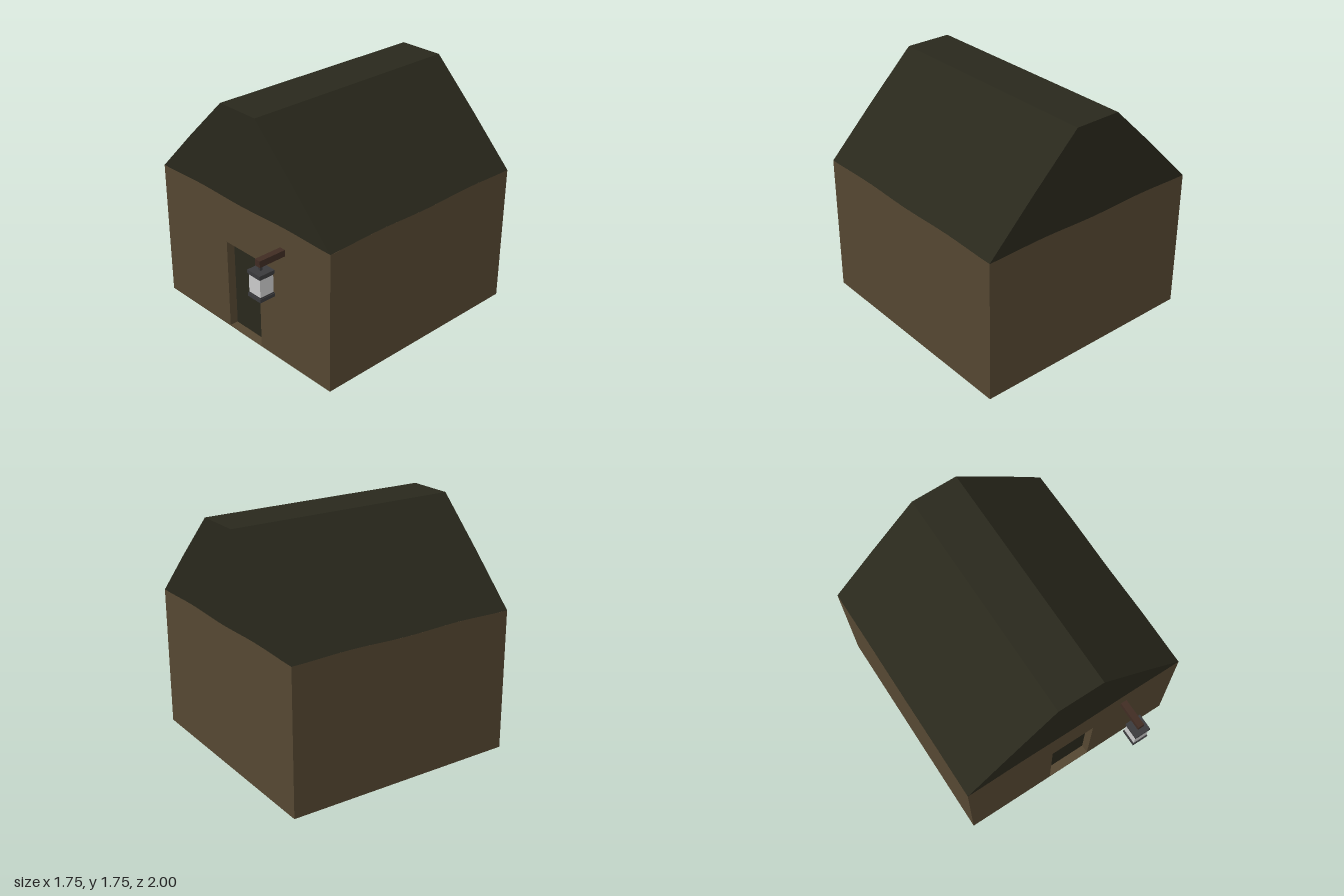
import * as THREE from 'three';

const HALF = 0.875, BACK = -1, FRONT = 0.75, RECESS = 0.07;
const CENTRE_Z = (FRONT + BACK) / 2;

const mat = (color) => new THREE.MeshStandardMaterial({ color, flatShading: true });

// gently waving line where walls meet the roof
const ripple = (t) => 0.01 * Math.sin((Math.PI * t) / HALF) ** 2;
const eave = (x, z) => 1.053 + ripple(x) + ripple(z - CENTRE_Z);

function add(parent, name, geometry, material, x = 0, y = 0, z = 0) {
  const mesh = new THREE.Mesh(geometry, material);
  mesh.name = name;
  mesh.position.set(x, y, z);
  parent.add(mesh);
  return mesh;
}

// move every vertex of a geometry by a rule
function reshape(geometry, rule) {
  const p = geometry.attributes.position;
  const v = new THREE.Vector3();
  for (let i = 0; i < p.count; i++) {
    rule(v.fromBufferAttribute(p, i));
    p.setXYZ(i, v.x, v.y, v.z);
  }
  geometry.computeVertexNormals();
  return geometry;
}

export function createModel() {
  const group = new THREE.Group();
  const wall = mat(0x554732), thatch = mat(0x29281c);
  const wood = mat(0x402c23), iron = mat(0x3a3a3c), glass = mat(0xcccccc);

  // main walls, behind the front wall
  const depth = FRONT - RECESS - BACK;
  const body = new THREE.BoxGeometry(2 * HALF, 1, depth, 16, 1, 16);
  body.translate(0, 0.5, BACK + depth / 2);
  reshape(body, (v) => { if (v.y > 0.5) v.y = eave(v.x, v.z); });
  add(group, 'walls', body, wall);

  // front wall with the doorway cut out
  const front = new THREE.Shape();
  front.moveTo(-HALF, 0);
  front.lineTo(-0.175, 0);
  front.lineTo(-0.175, 0.705);
  front.lineTo(0.175, 0.705);
  front.lineTo(0.175, 0);
  front.lineTo(HALF, 0);
  for (let i = 16; i >= 0; i--) {
    const x = HALF * (i / 8 - 1);
    front.lineTo(x, eave(x, FRONT));
  }
  const frontGeo = new THREE.ExtrudeGeometry(front, { depth: RECESS, bevelEnabled: false });
  add(group, 'frontWall', frontGeo, wall, 0, 0, FRONT - RECESS);

  // door panel and threshold
  add(group, 'door', new THREE.BoxGeometry(0.35, 0.705, 0.01), thatch, 0, 0.3525, FRONT - RECESS);
  add(group, 'threshold', new THREE.BoxGeometry(0.35, 0.006, RECESS), wall, 0, 0.003, FRONT - RECESS / 2);

  // roof with a flat ridge and slightly swelling slopes
  const roof = new THREE.BoxGeometry(2 * HALF, 2, FRONT - BACK, 16, 2, 16);
  roof.translate(0, 1, CENTRE_Z);
  const scaleAt = [1, 0.608, 0.2];
  reshape(roof, (v) => {
    const row = Math.round(v.y);
    const base = row === 0 ? eave(v.x, v.z) : 1.053;
    v.x *= scaleAt[row];
    v.y = base + (1.748 - base) * (row / 2);
  });
  add(group, 'roof', roof, thatch);

  // lantern hanging from a wooden arm
  const lantern = new THREE.Group();
  lantern.name = 'lantern';
  lantern.position.set(0.422, 0, 0.9375);
  group.add(lantern);
  add(lantern, 'lanternArm', new THREE.BoxGeometry(0.048, 0.048, 0.22), wood, 0, 0.881, -0.083);
  add(lantern, 'lanternRod', new THREE.BoxGeometry(0.02, 0.05, 0.02), iron, 0, 0.842, 0.003);
  add(lantern, 'lanternGlass', new THREE.BoxGeometry(0.112, 0.15, 0.112), glass, 0, 0.721, 0);
  for (const [name, y, dir] of [['lanternCap', 0.81, 1], ['lanternBase', 0.635, -1]]) {
    add(lantern, name, new THREE.BoxGeometry(0.125, 0.026, 0.125), iron, 0, y, 0);
    add(lantern, name + 'Rim', new THREE.BoxGeometry(0.115, 0.014, 0.115), iron, 0, y - dir * 0.015, 0);
  }
  return group;
}
